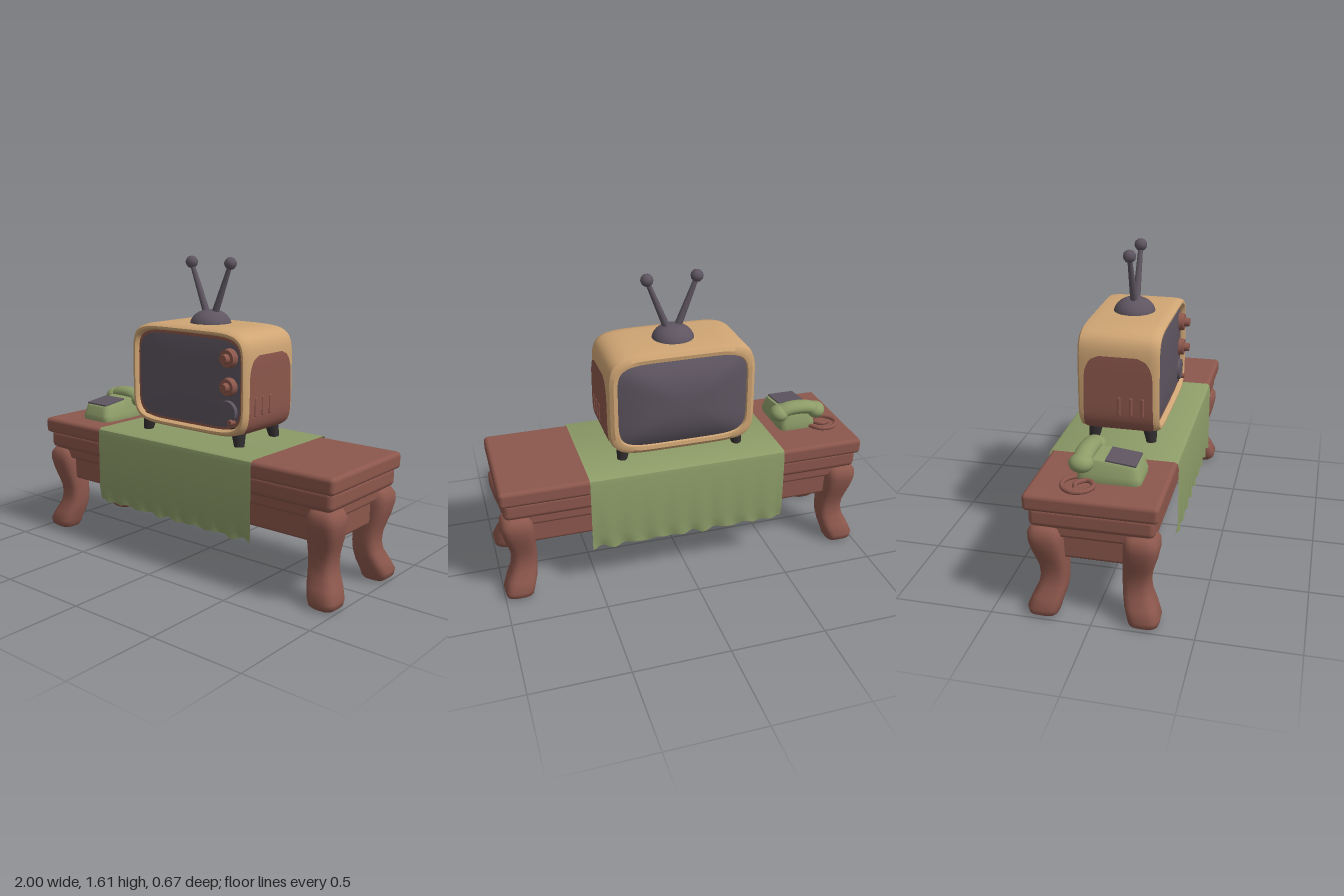
import * as THREE from 'three';
import { toCreasedNormals } from 'three/addons/utils/BufferGeometryUtils.js';
import { RoundedBoxGeometry } from 'three/addons/geometries/RoundedBoxGeometry.js';
import { ParametricGeometry } from 'three/addons/geometries/ParametricGeometry.js';

const mat = (name, color, side = THREE.FrontSide) => {
  const m = new THREE.MeshStandardMaterial({ color, side });
  m.name = name;
  return m;
};

// Skin a surface through rows of section data; place(row, u, target) gives the point.
function loft(rows, place, nu, crease = 0.7) {
  const f = (u, v, t) => place(rows[Math.round(v * (rows.length - 1))], u, t);
  return toCreasedNormals(new ParametricGeometry(f, nu, rows.length - 1), crease);
}

// Point on a rounded rectangle (superellipse) with half sizes a, b.
function superPoint(u, a, b, n) {
  const c = Math.cos(u * Math.PI * 2), s = Math.sin(u * Math.PI * 2);
  return [a * Math.sign(c) * Math.abs(c) ** (2 / n), b * Math.sign(s) * Math.abs(s) ** (2 / n)];
}

export function createModel() {
  const wood = mat('brown wood', 0x8c574c);
  const green = mat('green', 0x8d9c68);
  const cloth = mat('green cloth', 0x8d9c68, THREE.DoubleSide);
  const tan = mat('tan casing', 0xcfa574);
  const grey = mat('grey glass', 0x5e5560);
  const dark = mat('dark feet', 0x332f31);

  const root = new THREE.Group();
  const group = (name) => {
    const g = new THREE.Group();
    g.name = name;
    root.add(g);
    return g;
  };
  const add = (parent, name, geo, m, x = 0, y = 0, z = 0) => {
    const mesh = new THREE.Mesh(geo, m);
    mesh.name = name;
    mesh.position.set(x, y, z);
    parent.add(mesh);
    return mesh;
  };

  // ---- Table ----
  const table = group('table');
  const slab = (name, hx, hz, y0, y1, r) =>
    add(table, name, new RoundedBoxGeometry(hx * 2, y1 - y0, hz * 2, 3, r), wood, 0, (y0 + y1) / 2, 0);
  slab('tableTop', 0.99, 0.322, 0.575, 0.662, 0.022);
  slab('tableMoulding', 0.972, 0.302, 0.485, 0.59, 0.03);
  slab('tableNeck', 0.95, 0.28, 0.43, 0.52, 0.02);
  slab('apron', 0.92, 0.25, 0.305, 0.47, 0.02);

  // Curved legs: height, then outer and inner inset from the table corner
  const legRows = [
    [0, 0.08, 0.08], [0, 0.025, 0.14], [0.015, 0.006, 0.152], [0.045, 0, 0.16], [0.1, 0.022, 0.178],
    [0.15, 0.047, 0.187], [0.2, 0.056, 0.19], [0.25, 0.052, 0.19], [0.3, 0.038, 0.187], [0.35, 0.022, 0.185],
    [0.41, 0.009, 0.182], [0.45, 0.01, 0.178], [0.48, 0.028, 0.165], [0.49, 0.08, 0.08],
  ];
  for (const sx of [-1, 1]) for (const sz of [-1, 1]) {
    const place = ([y, o, i], u, t) => {
      const [x, z] = superPoint(u, (i - o) / 2, (i - o) / 2, 3.2), c = (o + i) / 2;
      t.set(sx * (1 - c) + x, y, sz * (0.325 - c) - z);
    };
    add(table, 'tableLeg', loft(legRows, place, 24, 1), wood);
  }

  // ---- Runner cloth with a ragged hem: z, y, hem amount ----
  const half = [[0.326, 0.255, 1], [0.328, 0.285, 0.4], [0.331, 0.33, 0], [0.331, 0.635, 0], [0.326, 0.66, 0], [0.312, 0.669, 0]];
  const clothRows = [...half, ...half.map(([z, y, w]) => [-z, y, w]).reverse()];
  const cover = ([z, y, w], u, t) => {
    const wave = Math.sin(u * 41) * 0.6 + Math.sin(u * 67 + 1) * 0.4;
    t.set(-0.53 + u * 1.06, y + w * wave * 0.01, z - w * Math.sign(z) * 0.008 * Math.cos(u * 53));
  };
  add(root, 'tableRunner', loft(clothRows, cover, 60), cloth);

  // ---- Television ----
  const tv = group('television');
  const A = 0.394, B = 0.277, CY = 0.988, N = 6;
  // Section rows: z, inset from the casing outline, or 'null' for the centre
  const section = ([z, inset], u, t) => {
    const [x, y] = inset === null ? [0, 0] : superPoint(u, A - inset, B - inset, N);
    t.set(x, y, z);
  };
  const casing = [
    [-0.2, null], [-0.2, 0.05], [-0.215, 0.045], [-0.218, 0.025], [-0.205, 0.006], [-0.17, 0], [0.15, 0],
    [0.187, 0.005], [0.2, 0.015], [0.2, 0.026], [0.188, 0.034], [0.172, 0.036], [0.172, null],
  ];
  add(tv, 'casing', loft(casing, section, 64), tan, 0, CY);

  // Bulged panel that fills an opening
  const dome = (z, inset, depth) => {
    const rows = [];
    for (let i = 0; i <= 8; i++) {
      const s = 1 - i / 8;
      rows.push([z + depth * (1 - s ** 2.5), s]);
    }
    return loft(rows, ([pz, s], u, t) => {
      const [x, y] = superPoint(u, A - inset, B - inset, N);
      t.set(x * s, y * s, pz);
    }, 64);
  };
  add(tv, 'screenSurround', dome(0.176, 0.036, 0), wood, 0, CY);
  add(tv, 'screen', dome(0.178, 0.05, 0.012), grey, 0, CY);
  add(tv, 'rearPanel', dome(0.202, 0.045, 0.06), grey, 0, CY).rotation.y = Math.PI;

  // Control knobs and speaker
  const disc = (name, r0, r1, z0, z1, x, y, m) => {
    const geo = new THREE.CylinderGeometry(r1, r0, z1 - z0, 20).rotateX(Math.PI / 2);
    add(tv, name, geo, m, x, y, (z0 + z1) / 2);
  };
  for (const [y, r] of [[1.125, 0.052], [0.98, 0.05]]) {
    disc('knobBase', r, r * 0.85, 0.172, 0.212, 0.28, y, wood);
    disc('knobGrip', r * 0.5, r * 0.42, 0.205, 0.24, 0.28, y, wood);
  }
  disc('speaker', 0.062, 0.055, 0.172, 0.198, 0.27, 0.85, grey);
  disc('smallKnob', 0.018, 0.014, 0.172, 0.212, 0.3, 0.8, wood);

  // Arched side panels that follow the bulging casing
  const sideX = (y) => A * (1 - Math.abs((y - CY) / B) ** N) ** (1 / N);
  const panelRows = Array.from({ length: 25 }, (_, i) => {
    const v = i / 24, k = Math.max(0, (v - 0.72) / 0.28), b = Math.max(0, (0.08 - v) / 0.08);
    const w = 0.172 + 0.008 * (1 - v) - 0.075 * (1 - Math.sqrt(1 - k * k)) - 0.02 * b * b;
    return [0.735 + v * 0.405, w];
  });
  for (const s of [-1, 1]) {
    const place = ([y, w], u, t) => t.set(s * (sideX(y) + 0.005), y, -0.005 + s * w * (1 - 2 * u));
    add(tv, 'sidePanel', loft(panelRows, place, 8), wood);
    for (let i = 0; i < 3; i++) {
      add(tv, 'ventRib', new RoundedBoxGeometry(0.016, 0.1, 0.018, 2, 0.006), wood, s * (sideX(0.88) + 0.003), 0.88, 0.12 - i * 0.06);
    }
  }

  // Splayed feet
  for (const sx of [-1, 1]) for (const sz of [-1, 1]) {
    const foot = add(tv, 'tvFoot', new THREE.CylinderGeometry(0.042, 0.026, 0.1, 14), dark, sx * 0.312, 0.715, sz * 0.145);
    foot.rotation.set(-sz * 0.12, 0, sx * 0.15);
  }

  // Antenna
  add(tv, 'antennaDome', new THREE.SphereGeometry(1, 28, 10, 0, Math.PI * 2, 0, Math.PI / 2).scale(0.112, 0.085, 0.11), grey, -0.003, 1.252, -0.008);
  for (const s of [-1, 1]) {
    const rod = add(tv, 'antennaRod', new THREE.CylinderGeometry(0.012, 0.021, 0.31, 10), grey, s * 0.078, 1.44, -0.005);
    rod.rotation.z = -s * 0.38;
    add(tv, 'antennaTip', new THREE.IcosahedronGeometry(0.034, 1), grey, s * 0.132, 1.58, -0.005);
  }

  // ---- Telephone ----
  const phone = group('telephone');
  const PX = -0.705, PZ = 0.045, slope = 0.12;
  // Base rows: height, half width, half depth, tilt
  const baseRows = [
    [0.66, 0, 0, 0], [0.66, 0.105, 0.155, 0], [0.685, 0.107, 0.157, 0], [0.7, 0.102, 0.153, 0.2],
    [0.75, 0.092, 0.143, 1], [0.763, 0.084, 0.135, 1], [0.766, 0, 0, 1],
  ];
  add(phone, 'phoneBase', loft(baseRows, ([y, a, b, k], u, t) => {
    const [x, z] = superPoint(u, a, b, 7);
    t.set(PX + x, y + k * slope * z, PZ - z);
    t.y = y - k * slope * (t.z - PZ);
  }, 40), green);
  add(phone, 'keypad', new THREE.BoxGeometry(0.15, 0.008, 0.15), grey, PX - 0.005, 0.762, 0.1).rotation.x = Math.atan(slope);

  const handset = new THREE.Group();
  handset.name = 'handset';
  handset.position.set(PX, 0, -0.077);
  handset.rotation.y = -0.05;
  phone.add(handset);
  const arc = new THREE.CatmullRomCurve3([[-0.11, 0.762], [-0.05, 0.782], [0.05, 0.782], [0.11, 0.762]].map(([x, y]) => new THREE.Vector3(x, y, 0)));
  add(handset, 'handle', new THREE.TubeGeometry(arc, 16, 0.037, 14), green).scale.z = 1.3;
  for (const s of [-1, 1]) {
    add(handset, 'earpiece', new THREE.SphereGeometry(0.05, 20, 14).scale(1.05, 0.9, 1.2), green, s * 0.106, 0.76, 0);
  }

  // Coiled cord lying on the table
  const cordPoints = [[-0.76, -0.08], [-0.82, -0.155], [-0.89, -0.155], [-0.935, -0.1], [-0.92, -0.04], [-0.86, -0.01], [-0.81, -0.05], [-0.85, -0.1], [-0.9, -0.085]];
  const cord = new THREE.CatmullRomCurve3(cordPoints.map(([x, z]) => new THREE.Vector3(x, 0.673, z)));
  add(phone, 'cord', new THREE.TubeGeometry(cord, 60, 0.012, 8), wood);

  return root;
}
